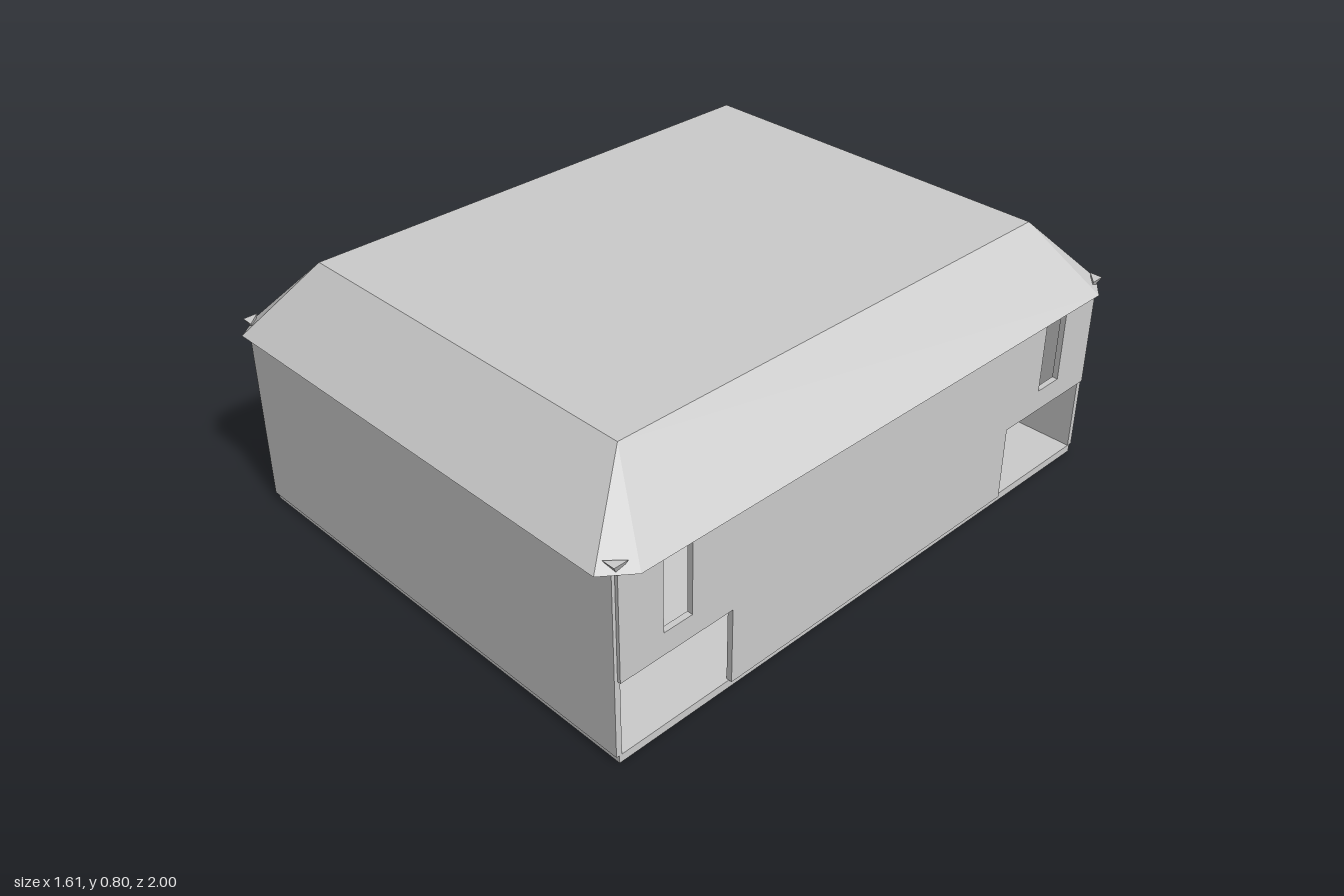
import * as THREE from 'three';
import { ConvexGeometry } from 'three/addons/geometries/ConvexGeometry.js';

const material = new THREE.MeshStandardMaterial({ color: 0xcccccc, flatShading: true });
const FLOOR = 0.025, EAVE = 0.597, OPEN_TOP = 0.265, T = 0.018;

function add(parent, name, geometry, x = 0, y = 0, z = 0) {
  const mesh = new THREE.Mesh(geometry, material);
  mesh.name = name;
  mesh.position.set(x, y, z);
  parent.add(mesh);
  return mesh;
}

const polygon = (pts) => new THREE.Shape(pts.map(([x, y]) => new THREE.Vector2(x, y)));
const extrude = (shape) => new THREE.ExtrudeGeometry(shape, { depth: T, bevelEnabled: false });
const hull = (pts) => new ConvexGeometry(pts.map((p) => new THREE.Vector3(...p)));

// Long wall: open lower corners and two tall windows (drawn along -z)
function sideWall(frontEnd, backEnd) {
  const e = 0.955;
  const shape = polygon([
    [-frontEnd, FLOOR], [backEnd, FLOOR], [backEnd, OPEN_TOP], [e, OPEN_TOP],
    [e, EAVE], [-e, EAVE], [-e, OPEN_TOP], [-frontEnd, OPEN_TOP],
  ]);
  for (const u of [-0.765, 0.763]) {
    shape.holes.push(polygon([[u - 0.048, 0.335], [u - 0.048, 0.58], [u + 0.048, 0.58], [u + 0.048, 0.335]]));
  }
  return extrude(shape).rotateY(Math.PI / 2);
}

export function createModel() {
  const group = new THREE.Group();
  group.name = 'building';

  add(group, 'floorSlab', new THREE.BoxGeometry(1.52, FLOOR, 1.91), 0, FLOOR / 2, 0);

  // End walls, the back one with a doorway
  const front = polygon([[-0.76, FLOOR], [0.76, FLOOR], [0.76, EAVE], [-0.76, EAVE]]);
  add(group, 'frontWall', extrude(front), 0, 0, 0.965 - T);
  const back = polygon([
    [-0.76, FLOOR], [-0.1, FLOOR], [-0.1, OPEN_TOP], [0.1, OPEN_TOP],
    [0.1, FLOOR], [0.76, FLOOR], [0.76, EAVE], [-0.76, EAVE],
  ]);
  add(group, 'backWall', extrude(back), 0, 0, -0.965);

  // Side walls
  add(group, 'leftWall', sideWall(0.575, 0.57), 0.77 - T, 0, 0);
  add(group, 'rightWall', sideWall(0.6, 0.57), -0.77, 0, 0);

  // Low rail inside one rear window
  add(group, 'windowRail', new THREE.BoxGeometry(0.01, 0.01, 0.1), -0.756, 0.382, -0.763);
  add(group, 'windowRailPost', new THREE.BoxGeometry(0.01, 0.045, 0.01), -0.756, 0.357, -0.763);

  // Roof with a flat top, sloping sides and cut corners
  const roof = [];
  for (const sx of [-1, 1]) {
    for (const sz of [-1, 1]) {
      roof.push([sx * 0.61, 0.803, sz * 0.803], [sx * 0.74, 0.594, sz], [sx * 0.806, 0.594, sz * 0.915]);
      // Small tapered spout at each roof corner
      add(group, 'cornerSpout', hull([
        [0.776, 0.622, 0.97], [0.735, 0.622, 0.97], [0.776, 0.622, 0.925],
        [0.766, 0.598, 0.956], [0.75, 0.598, 0.956], [0.766, 0.598, 0.938],
      ].map(([x, y, z]) => [sx * x, y, sz * z])));
    }
  }
  add(group, 'roof', hull(roof));
  return group;
}
